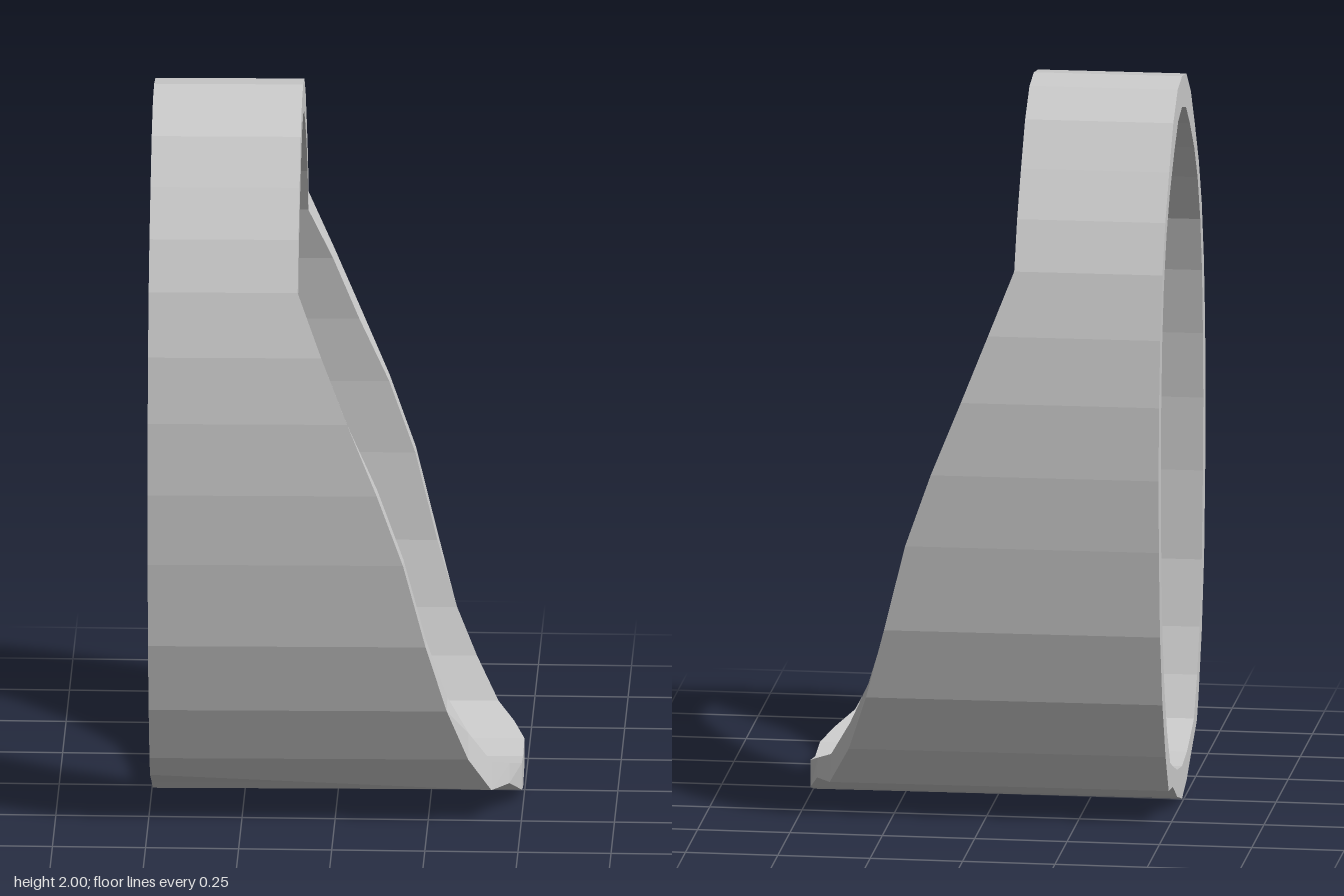
import * as THREE from 'three';

// Half profile from top to bottom: outer z, outer y, inner z, inner y, x of the front rim
const HALF = [
  [0, 2, 0, 1.915, -0.095],
  [0.09, 1.985, 0.08, 1.895, -0.095],
  [0.18, 1.915, 0.16, 1.83, -0.095],
  [0.265, 1.8, 0.25, 1.74, -0.095],
  [0.345, 1.68, 0.32, 1.64, -0.095],
  [0.405, 1.55, 0.375, 1.51, -0.095],
  [0.45, 1.38, 0.41, 1.36, -0.03],
  [0.475, 1.2, 0.43, 1.18, 0.04],
  [0.485, 1.0, 0.437, 1.0, 0.12],
  [0.478, 0.8, 0.43, 0.8, 0.19],
  [0.455, 0.56, 0.405, 0.56, 0.25],
  [0.405, 0.36, 0.36, 0.385, 0.305],
  [0.34, 0.2, 0.31, 0.265, 0.36],
  [0.275, 0.09, 0.245, 0.16, 0.42],
  [0.19, 0.08, 0.17, 0.13, 0.465],
  [0.1, 0.03, 0.1, 0.105, 0.495],
  [0, 0, 0, 0.09, 0.495],
];
const BACK = -0.495;
const STEP = 13; // profile row at the notch above the foot

export function createModel() {
  // Full loop: down the +z side, then back up the mirrored -z side
  const loop = HALF.map((row, i) => ({ row, i, side: 1 }));
  for (let i = HALF.length - 2; i > 0; i--) loop.push({ row: HALF[i], i, side: -1 });

  // The tube leans slightly towards -z as it runs forward
  const point = (x, y, z) => [x, y, z + 0.005 - 0.022 * (x - BACK)];

  // Four corners of the wall at each step: back outer, front outer, front inner, back inner
  const positions = [];
  for (const { row: [oz, oy, iz, iy, x], i, side } of loop) {
    const flare = i === STEP && side > 0 ? 1 : 0; // notch fades out towards the back
    positions.push(
      ...point(BACK, oy + 0.05 * flare, side * oz + 0.03 * flare),
      ...point(x, oy, side * oz),
      ...point(x, iy, side * iz),
      ...point(BACK, iy, side * iz),
    );
  }

  // Outer wall, front rim, inner wall and back rim
  const index = [];
  for (let i = 0; i < loop.length; i++) {
    const j = (i + 1) % loop.length;
    for (let k = 0; k < 4; k++) {
      const n = (k + 1) % 4;
      const a = i * 4 + k, b = j * 4 + k, c = j * 4 + n, d = i * 4 + n;
      index.push(a, b, c, a, c, d);
    }
  }

  const indexed = new THREE.BufferGeometry();
  indexed.setAttribute('position', new THREE.Float32BufferAttribute(positions, 3));
  indexed.setIndex(index);
  const geometry = indexed.toNonIndexed();
  geometry.computeVertexNormals();

  const ring = new THREE.Mesh(
    geometry,
    new THREE.MeshStandardMaterial({ color: 0xcccccc, flatShading: true }),
  );
  ring.name = 'slantedOvalRing';

  const group = new THREE.Group();
  group.name = 'ovalRing';
  group.add(ring);
  return group;
}
